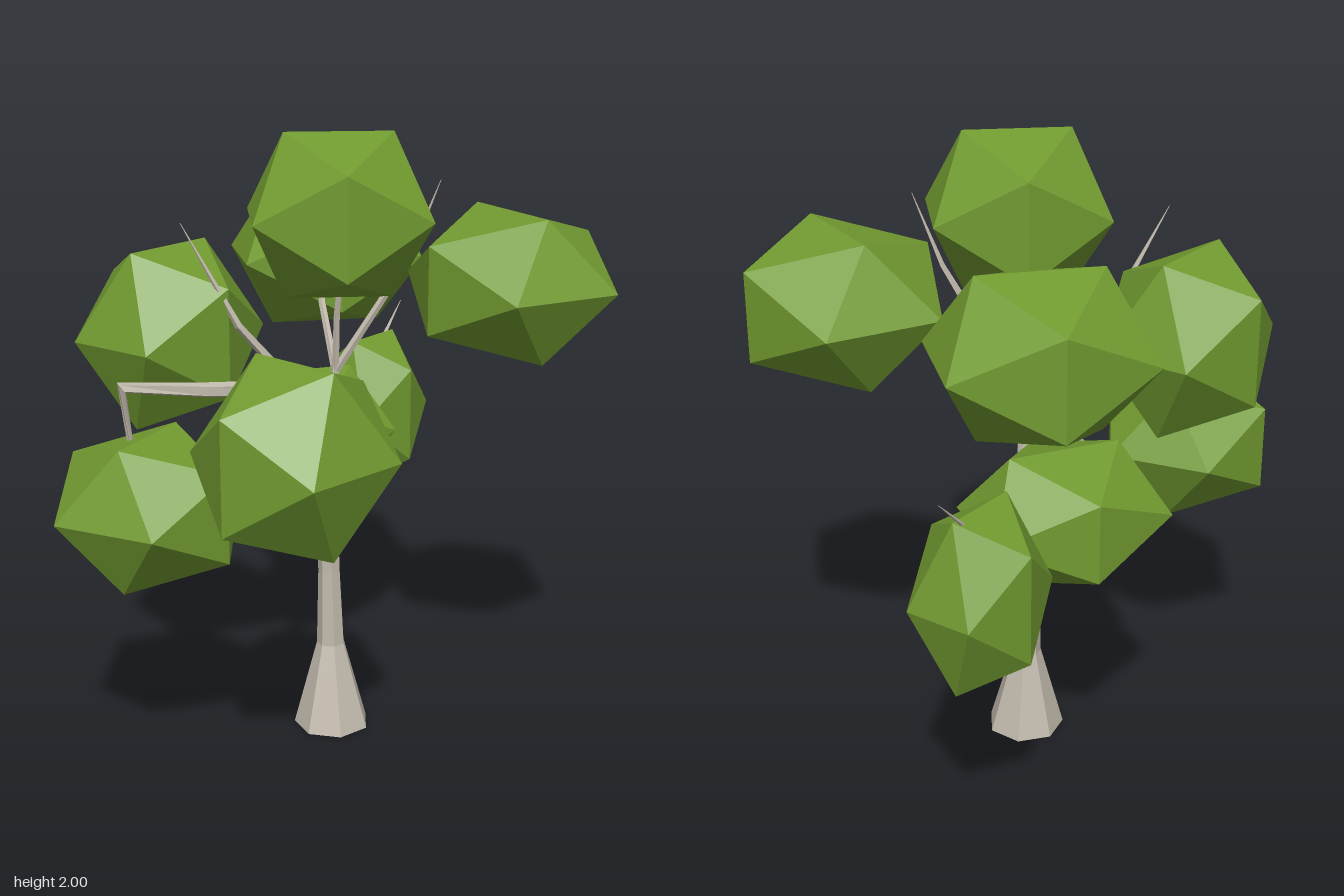
import * as THREE from 'three';

const UP = new THREE.Vector3(0, 1, 0);

// Faceted tapering limb through points [x, y, z, radius]
function limb(points, sides) {
  const centres = points.map(p => new THREE.Vector3(p[0], p[1], p[2]));
  const positions = [], index = [];
  points.forEach((p, i) => {
    const before = centres[Math.max(i - 1, 0)];
    const after = centres[Math.min(i + 1, centres.length - 1)];
    const tangent = i === 0 && p[1] === 0 ? UP.clone() : after.clone().sub(before).normalize();
    const turn = new THREE.Quaternion().setFromUnitVectors(UP, tangent);
    for (let s = 0; s < sides; s++) {
      const a = (s / sides) * Math.PI * 2 + 0.3;
      const v = new THREE.Vector3(Math.sin(a) * p[3], 0, Math.cos(a) * p[3]);
      v.applyQuaternion(turn).add(centres[i]);
      positions.push(v.x, v.y, v.z);
    }
  });
  for (let i = 0; i < points.length - 1; i++) {
    for (let s = 0; s < sides; s++) {
      const a = i * sides + s, b = i * sides + (s + 1) % sides;
      index.push(a, b, b + sides, a, b + sides, a + sides);
    }
  }
  // End caps
  const last = (points.length - 1) * sides;
  for (let s = 1; s < sides - 1; s++) {
    index.push(0, s + 1, s, last, last + s, last + s + 1);
  }
  const geometry = new THREE.BufferGeometry();
  geometry.setAttribute('position', new THREE.Float32BufferAttribute(positions, 3));
  geometry.setIndex(index);
  const flat = geometry.toNonIndexed();
  flat.computeVertexNormals();
  return flat;
}

export function createModel() {
  const tree = new THREE.Group();
  tree.name = 'tree';
  const bark = new THREE.MeshStandardMaterial({ color: 0xc2baad, flatShading: true });
  const leaf = new THREE.MeshStandardMaterial({ color: 0x719a30, flatShading: true });

  const addLimb = (name, points, sides) => {
    const mesh = new THREE.Mesh(limb(points, sides), bark);
    mesh.name = name;
    tree.add(mesh);
  };

  // Trunk with flared foot
  addLimb('trunk', [
    [0.04, 0, -0.05, 0.127], [0.045, 0.29, -0.06, 0.047], [0.04, 0.55, -0.062, 0.037],
    [0.035, 0.74, -0.065, 0.038], [0.05, 0.86, -0.05, 0.026],
    [0.05, 1.05, -0.05, 0.018], [0.055, 1.25, -0.05, 0.013],
  ], 7);

  // Branches and twigs
  const branches = {
    topBranch: [[0.055, 1.22, -0.05, 0.012], [0.04, 1.42, -0.03, 0.01], [0.03, 1.6, 0, 0.006]],
    frontLeftBranch: [[0.055, 1.23, -0.05, 0.014], [0.16, 1.47, 0.06, 0.012],
      [0.21, 1.62, 0.13, 0.008], [0.26, 1.84, 0.2, 0.001]],
    backLeftBranch: [[0.055, 1.23, -0.05, 0.013], [0.1, 1.43, -0.15, 0.011], [0.35, 1.5, -0.38, 0.005]],
    rightBranch: [[0.05, 1.12, -0.05, 0.02], [-0.14, 1.21, -0.06, 0.027],
      [-0.4, 1.24, -0.16, 0.024], [-0.65, 1.28, -0.26, 0.022], [-0.6, 1.05, -0.28, 0.01]],
    rightTwig: [[-0.12, 1.21, -0.06, 0.018], [-0.28, 1.42, -0.14, 0.013], [-0.41, 1.74, -0.25, 0.001]],
    rightLowerBranch: [[-0.14, 1.2, -0.06, 0.025], [-0.13, 1.01, -0.09, 0.018], [-0.36, 0.84, -0.15, 0.004]],
    frontRightBranch: [[-0.14, 1.2, -0.06, 0.018], [-0.28, 1.16, 0.08, 0.012], [-0.42, 1.13, 0.2, 0.004]],
    lowLeftBranch: [[0.04, 0.7, -0.06, 0.022], [0.12, 0.73, -0.11, 0.022],
      [0.45, 0.86, -0.35, 0.015], [0.7, 1.1, -0.44, 0.01], [0.87, 1.26, -0.47, 0.001]],
  };
  for (const [name, points] of Object.entries(branches)) addLimb(name, points, 5);

  // Leaf clumps: name, centre, radii, turn in degrees
  const clumps = [
    ['topLeaves', [-0.04, 1.75, 0.05], [0.315, 0.294, 0.315], -42],
    ['frontLeftLeaves', [0.43, 1.515, 0.345], [0.365, 0.265, 0.35], 71],
    ['backLeftLeaves', [0.39, 1.52, -0.405], [0.35, 0.282, 0.34], -36],
    ['backRightLeaves', [-0.325, 1.365, -0.4], [0.317, 0.325, 0.285], 5],
    ['frontRightLeaves', [-0.45, 1.13, 0.255], [0.3, 0.329, 0.333], 88],
    ['lowRightLeaves', [-0.59, 0.9, -0.22], [0.31, 0.265, 0.32], 17],
    ['lowMiddleLeaves', [0.2, 0.95, -0.34], [0.335, 0.237, 0.29], -26],
    ['lowLeftLeaves', [0.67, 0.9, -0.43], [0.23, 0.317, 0.2], 5],
  ];
  for (const [name, centre, radii, degrees] of clumps) {
    const mesh = new THREE.Mesh(new THREE.IcosahedronGeometry(1, 0), leaf);
    mesh.name = name;
    mesh.position.set(...centre);
    mesh.scale.set(...radii);
    mesh.rotation.y = THREE.MathUtils.degToRad(degrees);
    tree.add(mesh);
  }
  return tree;
}
